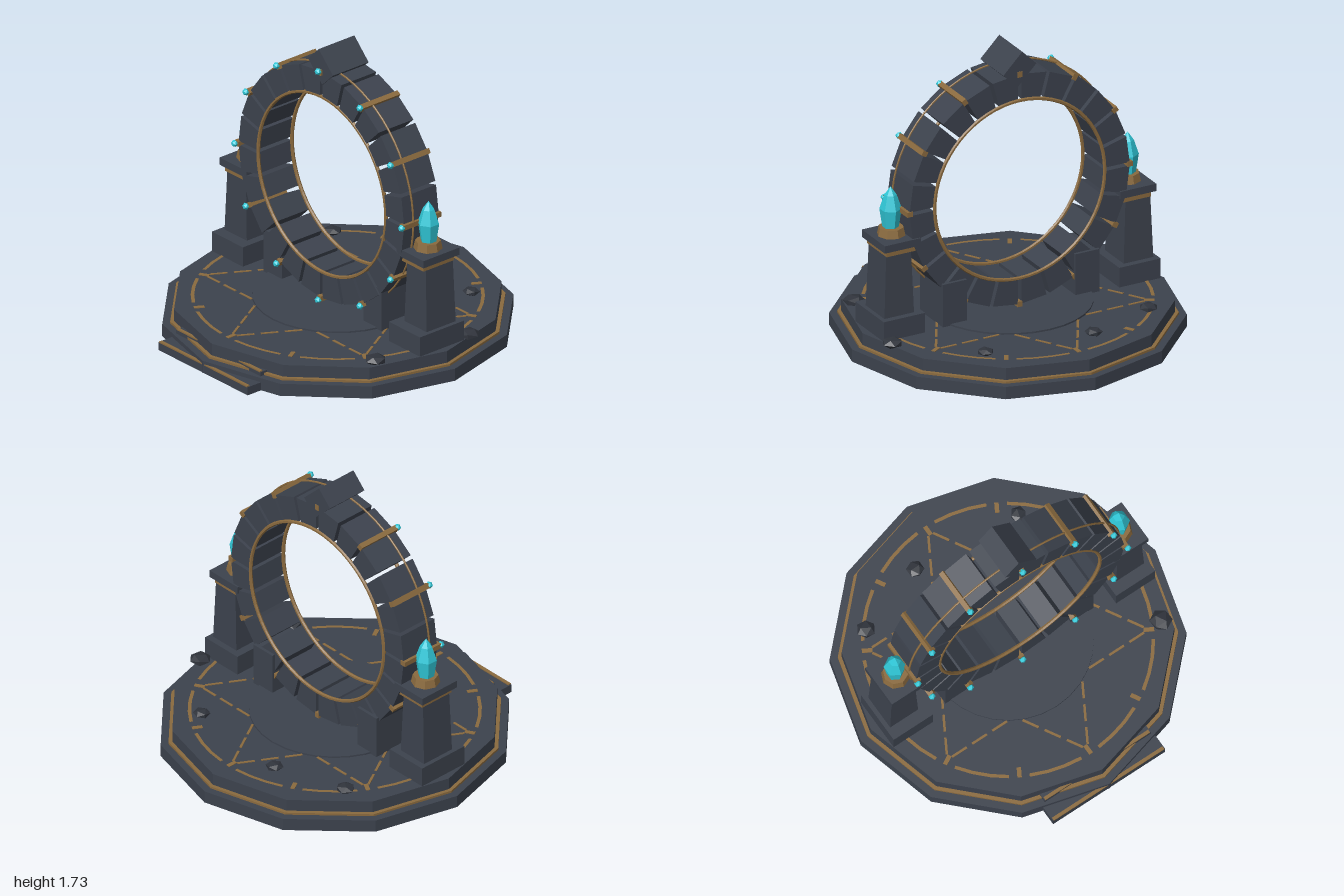
import * as THREE from 'three';

const mat = (name, color) => Object.assign(new THREE.MeshStandardMaterial({ color, flatShading: true }), { name });

export function createModel() {
  const stone = mat('slate stone', 0x3c424d);
  const rubble = mat('dark rubble', 0x30343c);
  const bronze = mat('aged bronze', 0x8a6a3e);
  const crystal = mat('cyan crystal', 0x30c8d8);
  const root = new THREE.Group();
  root.name = 'stonePortal';

  const add = (name, geo, material, x = 0, y = 0, z = 0, parent = root) => {
    const m = new THREE.Mesh(geo, material);
    m.name = name;
    m.position.set(x, y, z);
    parent.add(m);
    return m;
  };
  // box given by its bottom height
  const box = (name, w, h, d, material, x, y, z, parent) =>
    add(name, new THREE.BoxGeometry(w, h, d), material, x, y + h / 2, z, parent);
  const disc = (name, r, y0, y1, sides, material) =>
    add(name, new THREE.CylinderGeometry(r, r, y1 - y0, sides), material, 0, (y0 + y1) / 2, 0);

  // twelve-sided plinth
  disc('lowerPlinth', 1, 0, 0.075, 12, stone);
  disc('plinthTrim', 0.955, 0.075, 0.088, 12, bronze);
  disc('upperPlinth', 0.933, 0.088, 0.16, 12, stone);
  disc('innerDais', 0.48, 0.16, 0.17, 32, stone);

  // front steps with bronze edges
  box('lowerStep', 0.76, 0.05, 0.25, stone, 0, 0, 0.872);
  box('lowerStepEdge', 0.75, 0.008, 0.02, bronze, 0, 0.048, 0.988);
  box('upperStep', 0.72, 0.05, 0.2, stone, 0, 0.05, 0.785);
  box('upperStepEdge', 0.71, 0.008, 0.02, bronze, 0, 0.098, 0.876);

  // worn floor inlay: broken circle, markers and six-pointed star
  const inlayY = 0.163;
  for (let i = 0; i < 12; i++) {
    const a = i * Math.PI / 6;
    const arc = new THREE.RingGeometry(0.803, 0.823, 1, 6, a + 0.07, 0.38).rotateX(-Math.PI / 2);
    add('inlayArc', arc, bronze, 0, inlayY, 0);
    const mark = box('inlayMarker', 0.025, 0.004, 0.06, bronze, Math.sin(a) * 0.79, 0.16, Math.cos(a) * 0.79);
    mark.rotation.y = a;
  }
  for (let i = 0; i < 6; i++) {
    const a = i * Math.PI / 3, b = a + Math.PI * 2 / 3;
    const p = new THREE.Vector3(Math.sin(a), 0, Math.cos(a)).multiplyScalar(0.79);
    const q = new THREE.Vector3(Math.sin(b), 0, Math.cos(b)).multiplyScalar(0.79);
    for (const t of [0.06, 0.16, 0.26, 0.74, 0.84, 0.94]) {
      const c = p.clone().lerp(q, t);
      const dash = box('starInlay', 0.014, 0.004, 0.1, bronze, c.x, 0.16, c.z);
      dash.rotation.y = Math.atan2(q.x - p.x, q.z - p.z);
    }
  }

  // upright ring
  const ring = new THREE.Group();
  ring.name = 'portalRing';
  ring.position.set(0, 0.89, -0.006);
  root.add(ring);

  // tapered ring stones with even gaps between them
  const half = Math.PI / 24, gap = 0.011, r0 = 0.55, r1 = 0.7;
  const w0 = r0 * Math.tan(half) - gap, w1 = r1 * Math.tan(half) - gap;
  const wedge = new THREE.Shape([[r0, -w0], [r1, -w1], [r1, w1], [r0, w0]].map(p => new THREE.Vector2(...p)));
  const wedgeGeo = new THREE.ExtrudeGeometry(wedge, { depth: 0.256, bevelEnabled: false }).translate(0, 0, -0.128);
  for (let i = 0; i < 24; i++) {
    add('ringStone', wedgeGeo, stone, 0, 0, 0, ring).rotation.z = (i + 0.5) * Math.PI / 12;
  }

  // bronze hoops
  for (const z of [0.122, -0.128]) add('innerHoop', new THREE.TorusGeometry(0.545, 0.011, 6, 64), bronze, 0, 0, z, ring);
  add('outerHoop', new THREE.TorusGeometry(0.712, 0.006, 6, 64), bronze, 0, 0, 0.065, ring);

  // clamps with front gems
  for (let i = 0; i < 12; i++) {
    const a = i * Math.PI / 6, x = Math.cos(a), y = Math.sin(a);
    add('ringClamp', new THREE.BoxGeometry(0.035, 0.03, 0.278), bronze, x * 0.705, y * 0.705, 0.006, ring).rotation.z = a;
    add('clampGem', new THREE.IcosahedronGeometry(0.021, 0), crystal, x * 0.712, y * 0.712, 0.152, ring);
  }
  add('keystone', new THREE.BoxGeometry(0.172, 0.128, 0.264), stone, 0, 0.735, 0.002, ring).rotation.z = -Math.PI / 4;

  // crystal cross-sections as a six-sided lathe
  const crystalGeo = new THREE.LatheGeometry(
    [[0, 0], [0.046, 0], [0.063, 0.115], [0.035, 0.2], [0, 0.25]].map(p => new THREE.Vector2(...p)), 6).toNonIndexed();
  crystalGeo.computeVertexNormals();

  // shaft narrowing towards the top
  const shaftGeo = new THREE.BoxGeometry(0.19, 0.38, 0.215);
  const pos = shaftGeo.attributes.position;
  for (let i = 0; i < pos.count; i++) {
    if (pos.getY(i) > 0) pos.setXYZ(i, pos.getX(i) * 0.84, pos.getY(i), pos.getZ(i) * 0.93);
  }

  for (const s of [-1, 1]) {
    // ring cradle
    box('ringCradle', 0.155, 0.26, 0.265, stone, s * 0.425, 0.16, -0.02);

    // crystal pillar
    const pillar = new THREE.Group();
    pillar.name = s > 0 ? 'leftPillar' : 'rightPillar';
    pillar.position.set(s * 0.755, 0, -0.012);
    root.add(pillar);
    box('pillarBase', 0.265, 0.12, 0.325, stone, 0, 0.16, 0.012, pillar);
    add('pillarShaft', shaftGeo, stone, s * 0.012, 0.465, -0.005, pillar);
    box('pillarCollar', 0.185, 0.035, 0.225, bronze, 0, 0.655, 0, pillar);
    box('pillarCap', 0.23, 0.045, 0.264, stone, 0, 0.69, 0, pillar);
    add('crystalSocket', new THREE.CylinderGeometry(0.072, 0.083, 0.05, 8), bronze, 0, 0.758, 0, pillar);
    add('pillarCrystal', crystalGeo, crystal, s * 0.005, 0.778, 0, pillar);
  }

  // scattered rubble: x, z, radius
  [[-0.19, -0.64, 0.052], [0.47, -0.58, 0.05], [-0.62, -0.5, 0.056], [0.865, -0.22, 0.064], [0.77, 0.39, 0.066]]
    .forEach(([x, z, r], i) => {
      const rock = add('rubbleStone', new THREE.IcosahedronGeometry(r, 0), rubble, x, 0.174, z);
      rock.scale.y = 0.45;
      rock.rotation.y = i * 1.3;
    });

  return root;
}
